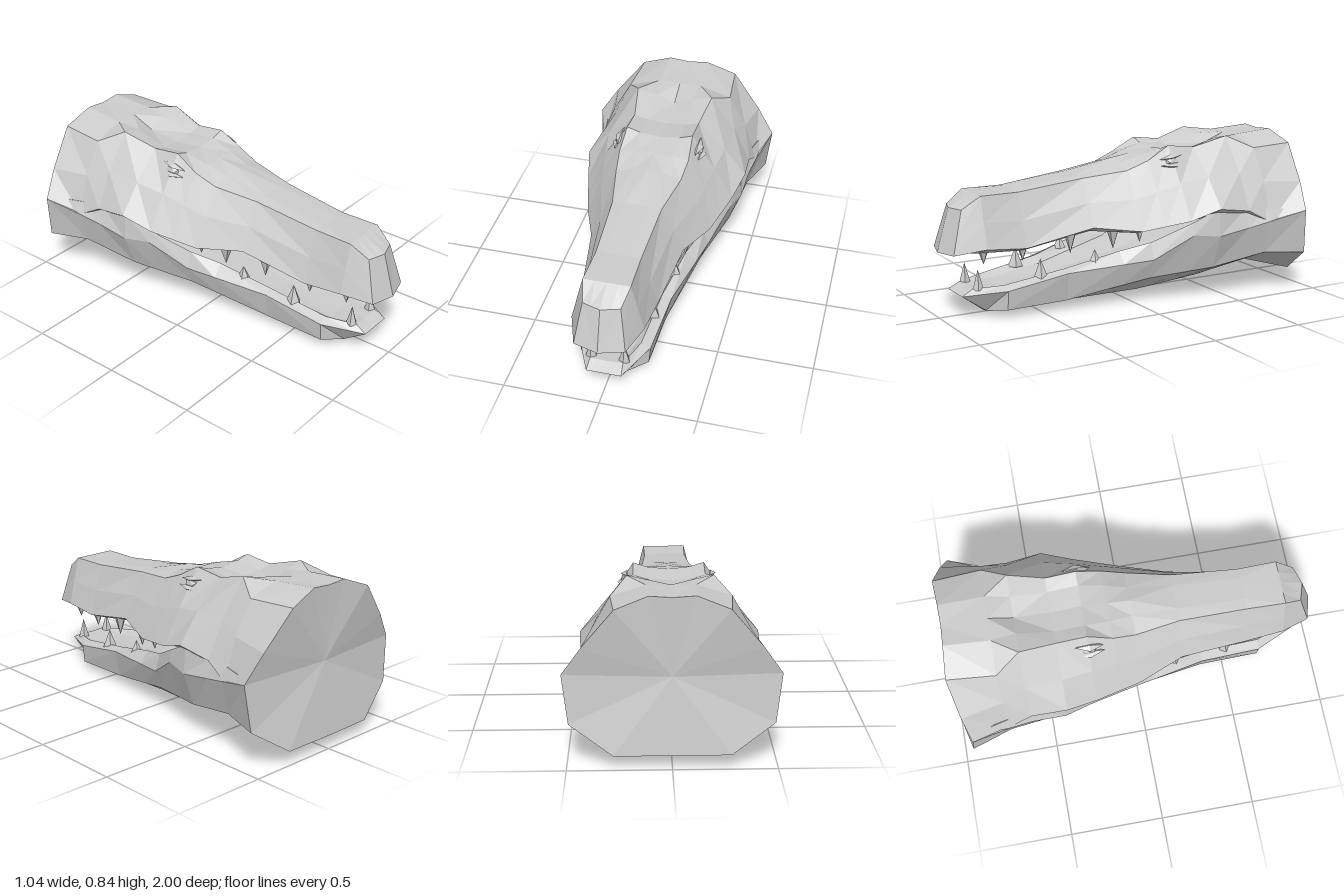
import * as THREE from 'three';

const material = new THREE.MeshStandardMaterial({ color: 0xcccccc, flatShading: true });

// Rails are lists of [z, x, y] knots, front to back, on the model's left half.
const crown = [[0.935, 0, 0.565], [0.81, 0, 0.63], [0.6, 0, 0.635], [0.24, 0, 0.68], [0, 0, 0.74],
  [-0.25, 0, 0.775], [-0.41, 0, 0.76], [-0.6, 0, 0.775], [-0.73, 0, 0.828], [-0.965, 0, 0.835]];
const innerCrown = [[0.92, 0.05, 0.565], [0.81, 0.06, 0.63], [0.6, 0.06, 0.635], [0.24, 0.065, 0.68],
  [0, 0.08, 0.722], [-0.12, 0.1, 0.755], [-0.25, 0.11, 0.787], [-0.41, 0.11, 0.77], [-0.6, 0.1, 0.815],
  [-0.73, 0.12, 0.828], [-0.968, 0.11, 0.843]];
const ridge = [[0.905, 0.095, 0.565], [0.81, 0.12, 0.63], [0.6, 0.115, 0.63], [0.24, 0.13, 0.67],
  [0, 0.175, 0.695], [-0.12, 0.188, 0.74], [-0.25, 0.18, 0.81], [-0.41, 0.18, 0.79],
  [-0.6, 0.21, 0.84], [-0.73, 0.29, 0.775], [-0.983, 0.27, 0.782]];
const cheek = [[0.935, 0.113, 0.455], [0.81, 0.153, 0.5], [0.6, 0.16, 0.49], [0.24, 0.195, 0.55],
  [0, 0.262, 0.555], [-0.25, 0.305, 0.62], [-0.41, 0.33, 0.645], [-0.6, 0.345, 0.655],
  [-0.73, 0.385, 0.605], [-0.95, 0.425, 0.59]];
const upperLip = [[0.965, 0.13, 0.345], [0.81, 0.185, 0.37], [0.6, 0.2, 0.355], [0.24, 0.25, 0.43],
  [0, 0.34, 0.4], [-0.25, 0.41, 0.44], [-0.41, 0.45, 0.495], [-0.6, 0.44, 0.465], [-0.73, 0.46, 0.395],
  [-0.92, 0.52, 0.45]];
const upperInnerLip = [[0.982, 0.065, 0.343], [0.81, 0.14, 0.345], [0.6, 0.15, 0.335], [0.24, 0.2, 0.405],
  [0, 0.27, 0.38], [-0.25, 0.34, 0.425], [-0.42, 0.39, 0.45], [-0.92, 0.4, 0.42]];
const palate = [[1, 0, 0.342], [0.81, 0, 0.35], [0.6, 0, 0.36], [0.24, 0, 0.42], [0, 0, 0.41], [-0.92, 0, 0.4]];
const upperRails = [crown, innerCrown, ridge, cheek, upperLip, upperInnerLip, palate];

const floor = [[0.91, 0, 0.12], [0.85, 0, 0.148], [0.7, 0, 0.14], [0.37, 0, 0.165], [-0.08, 0, 0.245],
  [-0.28, 0, 0.32], [-0.42, 0, 0.42], [-0.92, 0, 0.42]];
const floorEdge = [[0.91, 0.04, 0.12], [0.85, 0.05, 0.15], [0.7, 0.105, 0.143], [0.37, 0.135, 0.175],
  [-0.08, 0.23, 0.26], [-0.28, 0.32, 0.33], [-0.42, 0.37, 0.43], [-0.92, 0.4, 0.43]];
const lowerInnerLip = [[0.91, 0.07, 0.12], [0.85, 0.085, 0.152], [0.7, 0.14, 0.165], [0.37, 0.17, 0.215],
  [0.08, 0.23, 0.285], [-0.08, 0.29, 0.325], [-0.28, 0.385, 0.425], [-0.42, 0.42, 0.495], [-0.6, 0.41, 0.475],
  [-0.92, 0.48, 0.45]];
const lowerLip = [[0.91, 0.09, 0.12], [0.7, 0.19, 0.143], [0.37, 0.22, 0.2], [-0.08, 0.32, 0.235],
  [-0.28, 0.4, 0.36], [-0.42, 0.435, 0.345], [-0.65, 0.445, 0.38], [-0.92, 0.52, 0.45]];
const jawEdge = [[0.78, 0.085, 0.03], [0.7, 0.18, 0.042], [0.37, 0.19, 0.05], [-0.08, 0.28, 0.13],
  [-0.42, 0.37, 0.165], [-0.72, 0.42, 0.22], [-0.94, 0.49, 0.21]];
const underside = [[0.765, 0.05, 0.018], [0.7, 0.08, 0.018], [0.37, 0.1, 0.025], [-0.08, 0.15, 0.04],
  [-0.42, 0.2, 0.085], [-0.72, 0.24, 0.145], [-0.995, 0.28, 0.07]];
const keel = [[0.755, 0, 0.006], [0.37, 0, 0.012], [-0.08, 0, 0], [-0.28, 0, 0.03], [-0.42, 0, 0.055],
  [-0.72, 0, 0.14], [-1, 0, 0.07]];
const lowerRails = [floor, floorEdge, lowerInnerLip, lowerLip, jawEdge, underside, keel];

// Point on a rail at depth z; the ends are clamped.
function sample(rail, z) {
  const last = rail[rail.length - 1];
  if (z >= rail[0][0]) return [rail[0][1], rail[0][2], rail[0][0]];
  if (z <= last[0]) return [last[1], last[2], last[0]];
  const i = rail.findIndex((k) => k[0] <= z);
  const a = rail[i - 1], b = rail[i];
  const t = (a[0] - z) / (a[0] - b[0]);
  return [a[1] + (b[1] - a[1]) * t, a[2] + (b[2] - a[2]) * t, z];
}

// Full ring at depth z; the first and last rails lie on the centre line.
function ring(rails, z) {
  const half = rails.map((r) => sample(r, z));
  const mirror = half.slice(1, -1).reverse().map(([x, y, d]) => [-x, y, d]);
  return [...half, ...mirror];
}

function facetedMesh(name, points, idx) {
  const geo = new THREE.BufferGeometry();
  geo.setAttribute('position', new THREE.Float32BufferAttribute(points.flat(), 3));
  geo.setIndex(idx);
  const flat = geo.toNonIndexed();
  flat.computeVertexNormals();
  const mesh = new THREE.Mesh(flat, material);
  mesh.name = name;
  return mesh;
}

// Skin over the rings, open at the neck; the front is fanned from ring point hub.
function shell(name, rails, stations, hub) {
  const n = rails.length * 2 - 2;
  const idx = [];
  for (let s = 0; s < stations.length - 1; s++) {
    for (let i = 0; i < n; i++) {
      const a = s * n + i, b = s * n + (i + 1) % n;
      if (i < n / 2) idx.push(a, b, a + n, b, b + n, a + n);
      else idx.push(a, b, b + n, a, b + n, a + n);
    }
  }
  for (let i = 0; i < n; i++) {
    const next = (i + 1) % n;
    if (i !== hub && next !== hub) idx.push(hub, next, i);
  }
  return facetedMesh(name, stations.flatMap((z) => ring(rails, z)), idx);
}

// Closing face of the neck, fanned from its middle.
function neckEnd() {
  const rim = ring([...upperRails.slice(0, 5), ...lowerRails.slice(4)], -1);
  const n = rim.length;
  const idx = rim.flatMap((_, i) => [n, i, (i + 1) % n]);
  return facetedMesh('neckEnd', [...rim, [0, 0.45, -0.955]], idx);
}

// Five-sided tooth from its gum height to its tip height.
function tooth(name, x, z, base, tip, radius) {
  const geo = new THREE.ConeGeometry(radius, Math.abs(tip - base), 5);
  if (tip < base) geo.rotateX(Math.PI);
  const mesh = new THREE.Mesh(geo, material);
  mesh.position.set(x, (base + tip) / 2, z);
  mesh.name = name;
  return mesh;
}

// Faceted eye under a sloping lid, built for the left side.
function eye() {
  const group = new THREE.Group();
  group.name = 'eye';
  const ball = new THREE.Mesh(new THREE.IcosahedronGeometry(1, 0), material);
  ball.name = 'eyeball';
  ball.scale.set(0.02, 0.025, 0.045);
  ball.position.set(0.222, 0.728, -0.25);
  group.add(ball);
  for (const [name, x, y, tilt] of [['upperLid', 0.214, 0.752, 0.12], ['lowerLid', 0.232, 0.708, -0.08]]) {
    const lid = new THREE.Mesh(new THREE.OctahedronGeometry(1, 0), material);
    lid.name = name;
    lid.scale.set(0.028, 0.016, 0.075);
    lid.position.set(x, y, -0.245);
    lid.rotation.x = tilt;
    group.add(lid);
  }
  return group;
}

export function createModel() {
  const model = new THREE.Group();
  model.name = 'reptileHead';
  model.add(
    shell('upperHead', upperRails, [1, 0.81, 0.6, 0.24, 0, -0.12, -0.25, -0.41, -0.6, -0.73, -1], upperRails.length - 1),
    shell('lowerJaw', lowerRails, [0.91, 0.85, 0.7, 0.37, 0.08, -0.08, -0.28, -0.42, -0.6, -0.72, -1], 0),
    neckEnd(),
  );

  // x, z, gum height, tip height, radius
  const upperTeeth = [[0.115, 0.8, 0.37, 0.28, 0.036], [0.15, 0.6, 0.365, 0.28, 0.032],
    [0.195, 0.35, 0.41, 0.3, 0.036], [0.235, 0.12, 0.415, 0.305, 0.038], [0.27, -0.02, 0.4, 0.33, 0.026]];
  const lowerTeeth = [[0.085, 0.82, 0.145, 0.25, 0.03], [0.15, 0.5, 0.175, 0.28, 0.042], [0.2, 0.21, 0.23, 0.305, 0.036]];

  for (const side of [1, -1]) {
    for (const [x, ...rest] of upperTeeth) model.add(tooth('upperTooth', side * x, ...rest));
    for (const [x, ...rest] of lowerTeeth) model.add(tooth('lowerTooth', side * x, ...rest));
    const sideEye = eye();
    sideEye.scale.x = side;
    model.add(sideEye);
  }
  return model;
}
